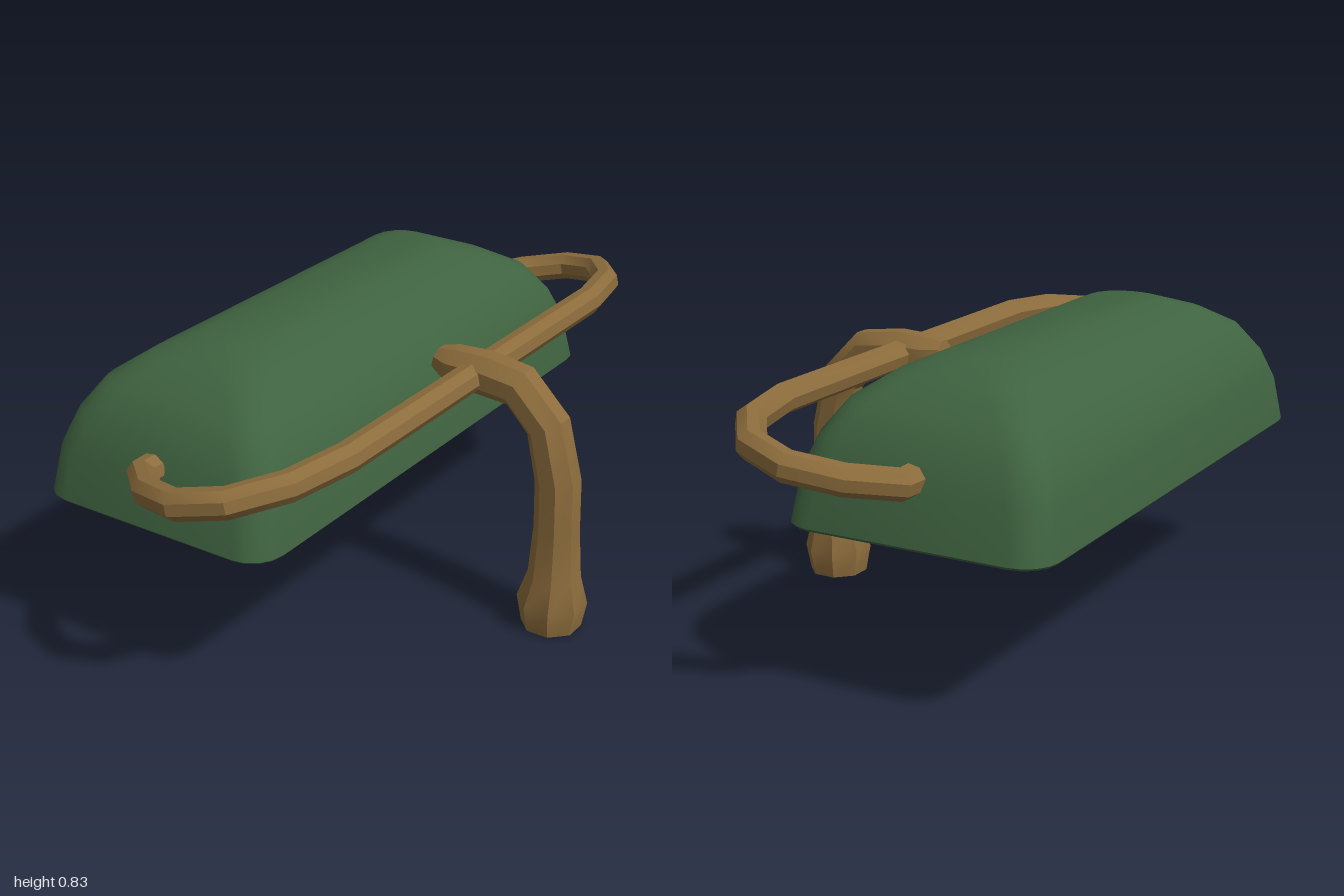
import * as THREE from 'three';
import { toCreasedNormals } from 'three/addons/utils/BufferGeometryUtils.js';

const V = (x, y, z) => new THREE.Vector3(x, y, z);

// Skin a list of equal-length rings of points and cap both ends
function loft(rings, crease) {
  const n = rings[0].length, pos = [], idx = [];
  rings.forEach(r => r.forEach(p => pos.push(p.x, p.y, p.z)));
  for (let i = 0; i < rings.length - 1; i++) {
    for (let j = 0; j < n; j++) {
      const k = (j + 1) % n, a = i * n + j, b = i * n + k;
      idx.push(a, b, b + n, a, b + n, a + n);
    }
  }
  [0, rings.length - 1].forEach((ri, end) => {
    const c = V(0, 0, 0);
    rings[ri].forEach(p => c.addScaledVector(p, 1 / n));
    const ci = pos.length / 3;
    pos.push(c.x, c.y, c.z);
    for (let j = 0; j < n; j++) {
      const cur = ri * n + j, next = ri * n + (j + 1) % n;
      if (end) idx.push(ci, cur, next); else idx.push(ci, next, cur);
    }
  });
  const g = new THREE.BufferGeometry();
  g.setAttribute('position', new THREE.Float32BufferAttribute(pos, 3));
  g.setIndex(idx);
  return toCreasedNormals(g, crease);
}

// Sweep a polygon along a planar path; normal is perpendicular to the path plane
function sweep(path, radii, normal, sides, phase, crease) {
  const N = normal.clone().normalize();
  const rings = path.map((p, i) => {
    const before = path[Math.max(i - 1, 0)], after = path[Math.min(i + 1, path.length - 1)];
    const T = V(0, 0, 0);
    if (i > 0) T.add(p.clone().sub(before).normalize());
    if (i < path.length - 1) T.add(after.clone().sub(p).normalize());
    const B = T.normalize().cross(N);
    return Array.from({ length: sides }, (_, j) => {
      const a = phase + j * 2 * Math.PI / sides, r = radii[i];
      return p.clone().addScaledVector(N, r * Math.cos(a)).addScaledVector(B, r * Math.sin(a));
    });
  });
  return loft(rings, crease);
}

// Horizontal rounded rectangle at height y
function roundedRing(cx, y, w, d, r) {
  const out = [];
  [[1, 1], [-1, 1], [-1, -1], [1, -1]].forEach(([sx, sz], q) => {
    for (let s = 0; s <= 4; s++) {
      const a = (q + s / 4) * Math.PI / 2;
      out.push(V(cx + sx * (w - r) + r * Math.cos(a), y, sz * (d - r) + r * Math.sin(a)));
    }
  });
  return out;
}

export function createModel() {
  const group = new THREE.Group();
  const mat = (name, color) => {
    const m = new THREE.MeshStandardMaterial({ color });
    m.name = name;
    return m;
  };
  const green = mat('shade green', 0x3f6340);
  const brass = mat('aged brass', 0x8c6c3c);
  const black = mat('socket black', 0x0a0a0a);
  const glow = mat('bulb yellow', 0xdcc478);
  const add = (name, geometry, material) => {
    const m = new THREE.Mesh(geometry, material);
    m.name = name;
    group.add(m);
  };

  // Shade: domed outer shell, rim and hollow inside (y, half width, half depth)
  const cx = -0.232, wall = 0.035;
  const profile = [
    [0.835, 0.103, 0.485], [0.797, 0.19, 0.59], [0.74, 0.268, 0.685],
    [0.66, 0.32, 0.742], [0.57, 0.352, 0.78], [0.44, 0.37, 0.808],
  ];
  const outer = profile.map(([y, w, d]) => roundedRing(cx, y, w, d, 0.09));
  const rim = [
    roundedRing(cx, 0.432, 0.362, 0.8, 0.085),
    roundedRing(cx, 0.432, 0.337, 0.775, 0.065),
  ];
  const inner = profile.slice(0, -1).reverse()
    .map(([y, w, d]) => roundedRing(cx, y - wall * 0.9, w - wall, d - wall, 0.06));
  add('shade', loft([...outer, ...rim, ...inner], 0.6), green);

  // Yoke: long bar with curved ends gripping both ends of the shade
  const half = [[-0.23, 0.765], [-0.23, 0.81], [-0.13, 0.9], [0, 0.948],
    [0.125, 0.912], [0.217, 0.79], [0.255, 0.61]];
  const plan = [...half, ...half.map(([x, z]) => [x, -z]).reverse()];
  const slope = 0.206;
  add('yoke', sweep(plan.map(([x, z]) => V(x, 0.645 + slope * x, z)),
    plan.map(() => 0.041), V(-slope, 1, 0), 8, Math.PI / 8, 0.5), brass);

  // Stem: flared foot, post and hooked top (x, y, radius)
  const stem = [
    [0.508, 0, 0.084], [0.508, 0.075, 0.098], [0.512, 0.16, 0.073], [0.513, 0.3, 0.063],
    [0.511, 0.445, 0.063], [0.475, 0.598, 0.062], [0.385, 0.69, 0.062],
    [0.28, 0.701, 0.062], [0.18, 0.7, 0.058], [0.13, 0.71, 0.036],
  ];
  add('stem', sweep(stem.map(([x, y]) => V(x, y, 0)), stem.map(s => s[2]),
    V(0, 0, 1), 8, Math.PI / 8, 0.5), brass);

  // Socket and bulb lie along z inside the shade (z, radius)
  const alongZ = (list, sides, crease) => sweep(list.map(([z]) => V(-0.187, 0.51, z)),
    list.map(p => p[1]), V(0, 1, 0), sides, 0, crease);
  add('socket', alongZ([[0.41, 0.095], [0.0, 0.13], [-0.05, 0.13],
    [-0.05, 0.1], [-0.17, 0.095]], 6, 0.3), black);
  add('bulb', alongZ([[-0.14, 0.07], [-0.25, 0.135], [-0.32, 0.16], [-0.4, 0.165],
    [-0.46, 0.14], [-0.5, 0.085], [-0.52, 0.02]], 6, 0.3), glow);

  return group;
}
